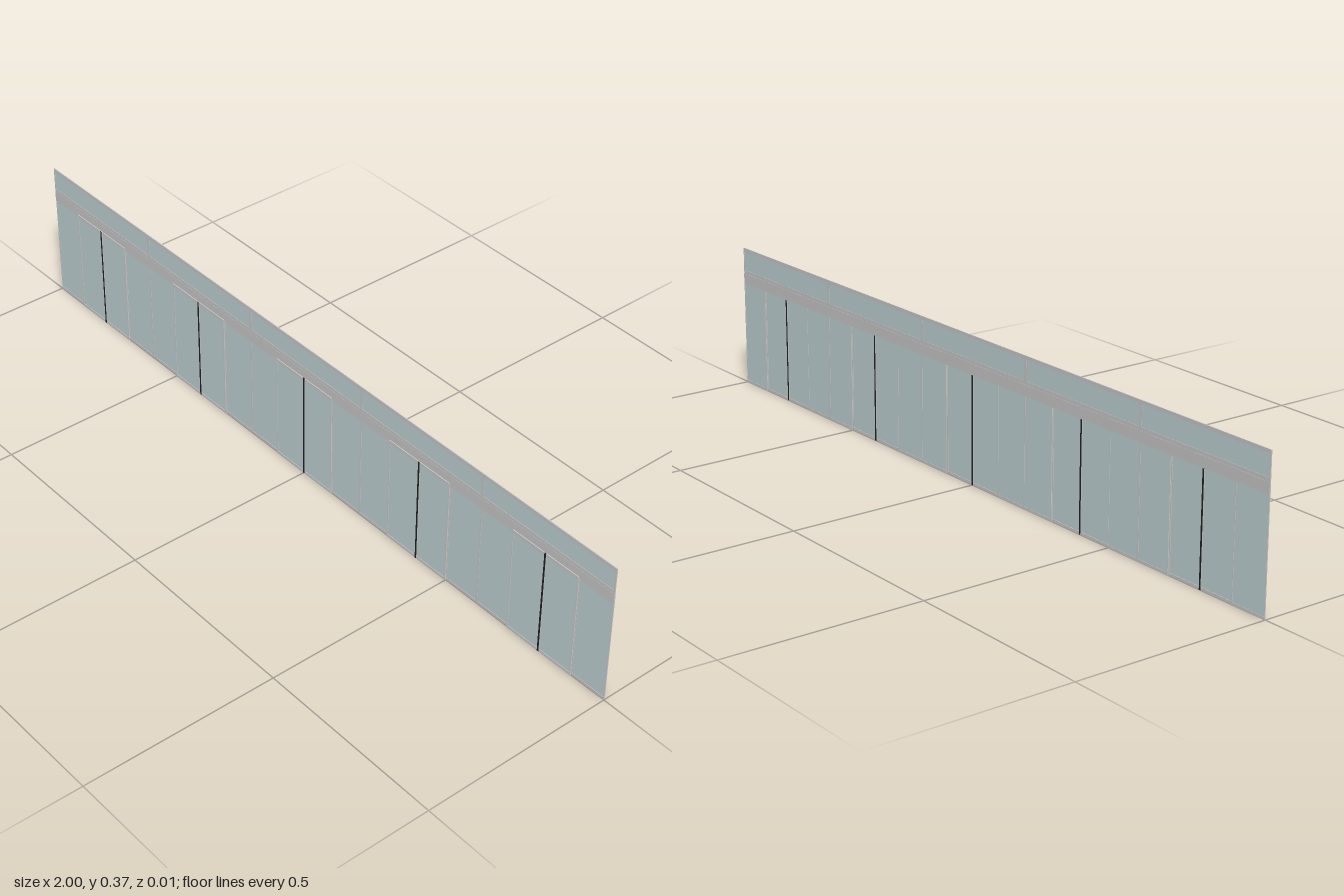
import * as THREE from 'three';

export function createModel() {
  const root = new THREE.Group();
  const frameMat = new THREE.MeshStandardMaterial({ color: 0xcccccc });
  const glassMat = new THREE.MeshStandardMaterial({ color: 0xc3d5d8 });
  const sealMat = new THREE.MeshStandardMaterial({ color: 0x222222 });

  // Box given by its limits
  const box = (parent, name, mat, x0, x1, y0, y1, z0, z1) => {
    const mesh = new THREE.Mesh(new THREE.BoxGeometry(x1 - x0, y1 - y0, z1 - z0), mat);
    mesh.position.set((x0 + x1) / 2, (y0 + y1) / 2, (z0 + z1) / 2);
    mesh.name = name;
    parent.add(mesh);
  };

  // Framed pane: two stiles, two rails and a thin sheet of glass
  const pane = (name, x0, x1, y0, y1, z0, z1, w, rail) => {
    const g = new THREE.Group();
    g.name = name;
    box(g, 'stile', frameMat, x0, x0 + w, y0, y1, z0, z1);
    box(g, 'stile', frameMat, x1 - w, x1, y0, y1, z0, z1);
    box(g, 'bottomRail', frameMat, x0 + w, x1 - w, y0, y0 + rail, z0, z1);
    box(g, 'topRail', frameMat, x0 + w, x1 - w, y1 - rail, y1, z0, z1);
    const zm = (z0 + z1) / 2;
    box(g, 'glass', glassMat, x0 + w, x1 - w, y0 + rail, y1 - rail, zm - 0.0004, zm + 0.0004);
    root.add(g);
  };

  const doorTop = 0.28, headTop = 0.3, top = 0.369;

  // Ground-level bays: door pairs are centred every 0.4, fixed lights between
  for (let i = 0; i < 20; i++) {
    const x0 = -1 + i * 0.1, x1 = x0 + 0.1;
    const isDoor = i % 4 === 1 || i % 4 === 2;
    if (isDoor) pane('doorLeaf', x0, x1, 0, doorTop, -0.0005, 0.0028, 0.003, 0.007);
    else pane('fixedLight', x0, x1, 0, doorTop, -0.0025, 0, 0.002, 0.007);
  }

  // Dark seal where the two leaves of each pair meet
  for (let i = 0; i < 5; i++) {
    const x = -0.8 + i * 0.4;
    box(root, 'doorSeal', sealMat, x - 0.0025, x + 0.0025, 0, doorTop, -0.0007, 0.003);
  }

  // Header band, kept behind the door faces
  box(root, 'header', frameMat, -1, 1, 0.273, headTop, -0.0028, 0.0006);

  // Upper row of wide transom lights
  for (let i = 0; i < 5; i++) {
    const x0 = -1 + i * 0.4;
    pane('transomLight', x0, x0 + 0.4, headTop, top, -0.0022, 0.0003, 0.004, 0.009);
  }
  return root;
}
